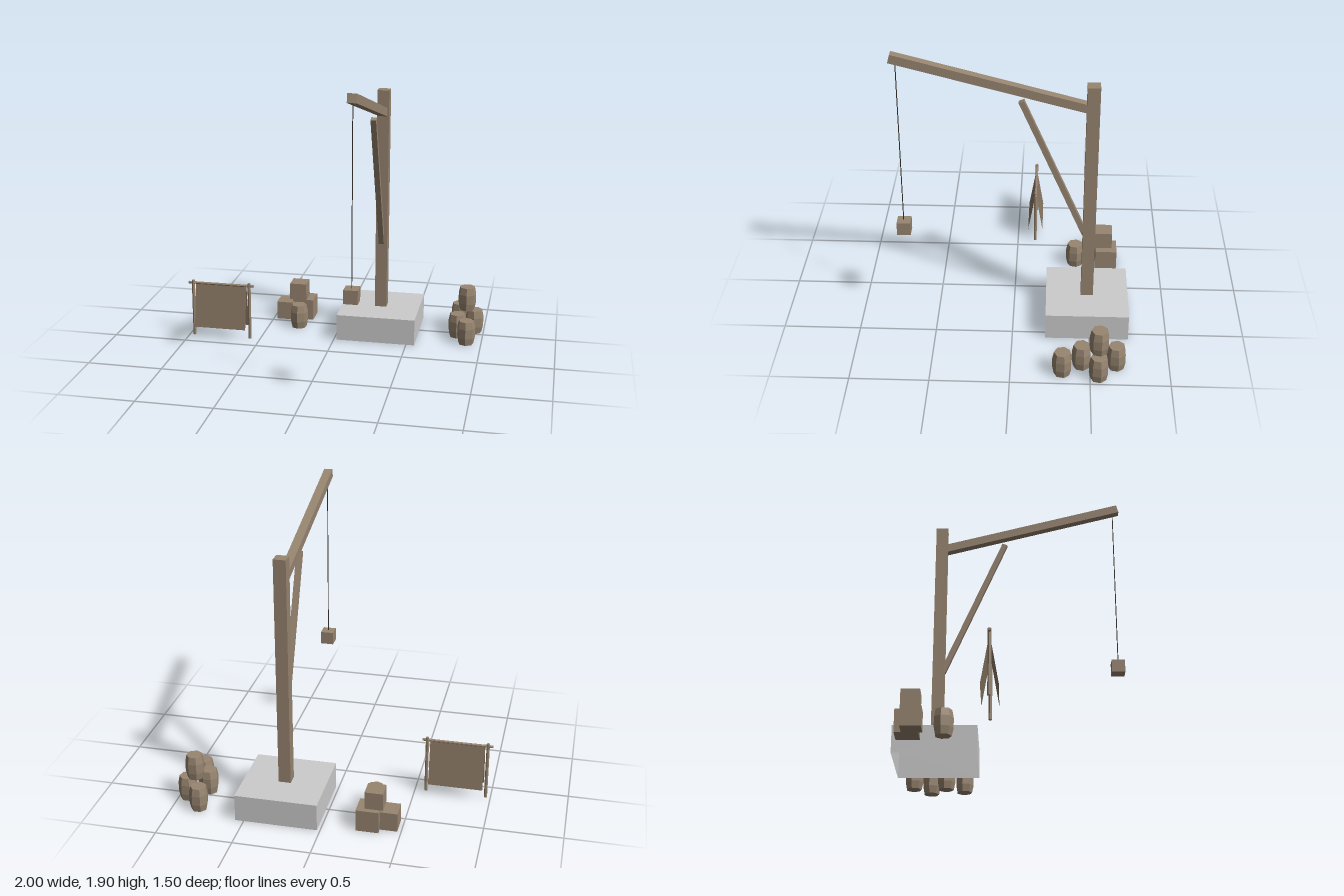
import * as THREE from 'three';

const wood = new THREE.MeshStandardMaterial({ color: 0x978570, flatShading: true });
const cloth = new THREE.MeshStandardMaterial({ color: 0x8a7864, side: THREE.DoubleSide });
const stone = new THREE.MeshStandardMaterial({ color: 0xcccccc, side: THREE.DoubleSide });
const ropeMat = new THREE.MeshStandardMaterial({ color: 0x3a332b });

function add(parent, name, geometry, material, x, y, z) {
  const mesh = new THREE.Mesh(geometry, material);
  mesh.name = name;
  mesh.position.set(x, y, z);
  parent.add(mesh);
  return mesh;
}

// Cube crate given its centre, its bottom height and its size
function crate(parent, name, x, bottom, z, size) {
  return add(parent, name, new THREE.BoxGeometry(size, size, size), wood, x, bottom + size / 2, z);
}

// Square timber running between two points of the plane x = const
function timber(parent, name, x, [z0, y0], [z1, y1], width) {
  const length = Math.hypot(z1 - z0, y1 - y0);
  const mesh = add(parent, name, new THREE.BoxGeometry(width, width, length), wood, x, (y0 + y1) / 2, (z0 + z1) / 2);
  mesh.rotation.x = -Math.atan2(y1 - y0, z1 - z0);
  return mesh;
}

// Seven-sided barrel with narrowed ends
const barrelGeometry = new THREE.LatheGeometry(
  [[0, 0], [0.052, 0], [0.062, 0.05], [0.062, 0.115], [0.052, 0.165], [0, 0.165]]
    .map(([r, y]) => new THREE.Vector2(r, y)), 7);

export function createModel() {
  const model = new THREE.Group();
  model.name = 'loadingCrane';
  const cx = 0.288, cz = -0.483;

  // Stone base, hollow with an open underside
  const baseGeometry = new THREE.BoxGeometry(0.536, 0.18, 0.536);
  const index = Array.from(baseGeometry.index.array);
  index.splice(18, 6); // leave out the bottom face
  baseGeometry.setIndex(index);
  baseGeometry.clearGroups();
  add(model, 'stoneBase', baseGeometry, stone, cx, 0.09, cz);

  // Crane
  const crane = new THREE.Group();
  crane.name = 'crane';
  model.add(crane);
  add(crane, 'post', new THREE.BoxGeometry(0.08, 1.53, 0.08), wood, cx, 0.94, cz);
  timber(crane, 'arm', cx, [-0.47, 1.552], [0.74, 1.871], 0.056);
  timber(crane, 'brace', cx, [-0.455, 0.645], [-0.048, 1.592], 0.036);
  add(crane, 'rope', new THREE.CylinderGeometry(0.003, 0.003, 1.16, 6), ropeMat, cx, 1.28, 0.705);
  crate(crane, 'hangingCrate', cx, 0.63, 0.703, 0.088);

  // Crate stack
  const crates = new THREE.Group();
  crates.name = 'crateStack';
  model.add(crates);
  crate(crates, 'smallCrate', -0.412, 0, -0.593, 0.127);
  crate(crates, 'largeCrate', -0.29, 0, -0.626, 0.147);
  crate(crates, 'topCrate', -0.325, 0.147, -0.607, 0.118);

  // Barrels: one beside the crates, a pile on the other side
  const barrels = new THREE.Group();
  barrels.name = 'barrels';
  model.add(barrels);
  for (const [x, y, z] of [
    [-0.288, 0, -0.41], [0.825, 0, -0.665], [0.936, 0, -0.553],
    [0.825, 0, -0.447], [0.897, 0, -0.325], [0.88, 0.163, -0.553],
  ]) add(barrels, 'barrel', barrelGeometry, wood, x, y, z);

  // Drying rack with a cloth draped over its rail
  const rack = new THREE.Group();
  rack.name = 'dryingRack';
  rack.position.set(-0.77, 0, -0.125);
  model.add(rack);
  for (const side of [-1, 1])
    add(rack, 'rackPost', new THREE.CylinderGeometry(0.011, 0.011, 0.398, 7), wood, side * 0.198, 0.199, 0);
  const rail = add(rack, 'rackRail', new THREE.CylinderGeometry(0.009, 0.009, 0.46, 7), wood, 0, 0.38, 0);
  rail.rotation.z = Math.PI / 2;
  for (const spread of [0.053, -0.051]) {
    const drop = 0.303;
    const panel = add(rack, 'clothPanel', new THREE.PlaneGeometry(0.358, Math.hypot(drop, spread)), cloth,
      0, 0.378 - drop / 2, spread / 2);
    panel.rotation.x = -Math.atan2(spread, drop);
  }

  return model;
}
